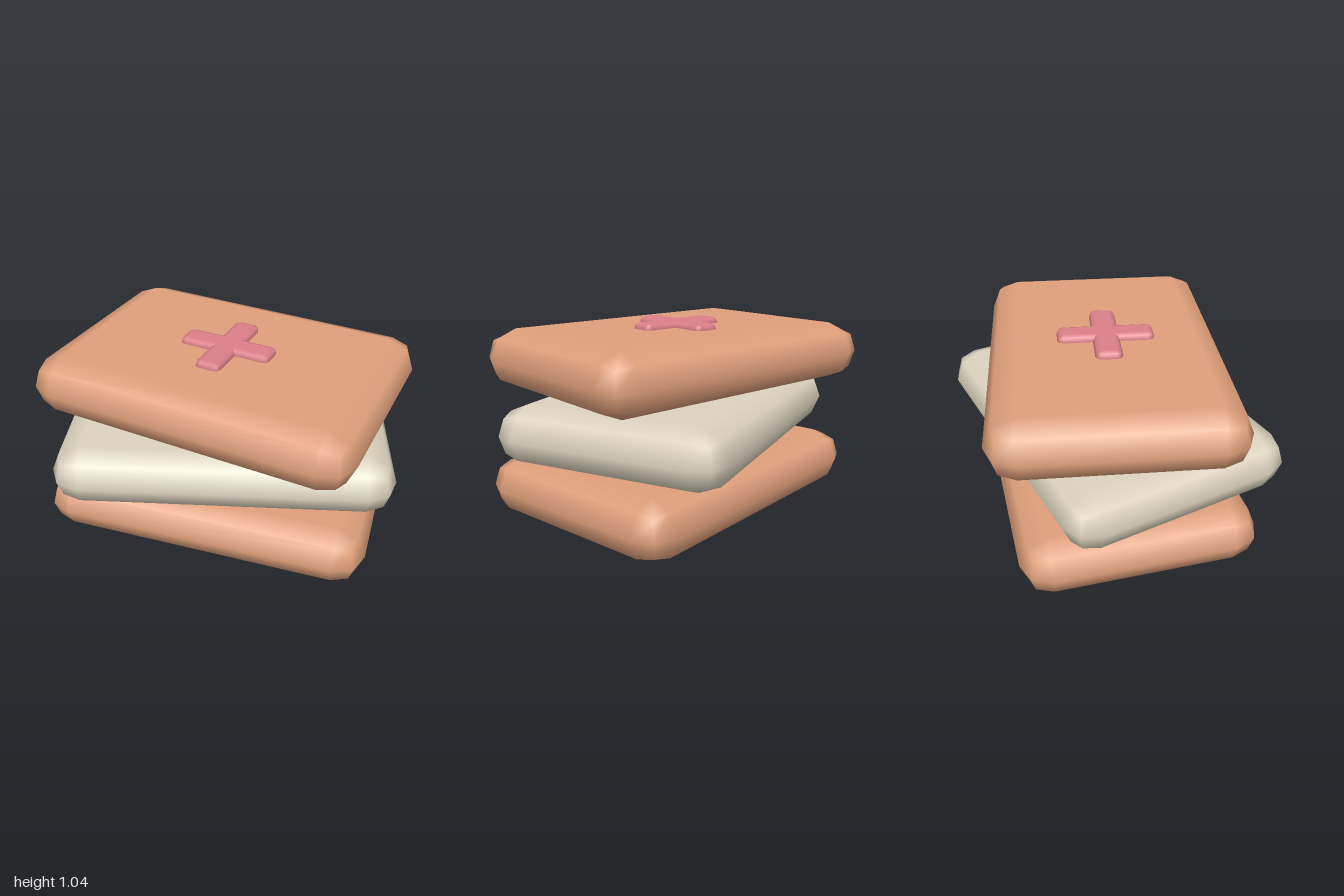
import * as THREE from 'three';
import { RoundedBoxGeometry } from 'three/addons/geometries/RoundedBoxGeometry.js';

function paint(name, color) {
  const material = new THREE.MeshStandardMaterial({ color });
  material.name = name;
  return material;
}

export function createModel() {
  const tan = paint('tan', 0xe0a07b);
  const cream = paint('cream', 0xddd4bf);
  const pink = paint('pink', 0xdc7f8a);
  const model = new THREE.Group();
  model.name = 'cushionStack';

  // Three identical soft slabs, each turned a little
  const slab = new RoundedBoxGeometry(1.81, 0.318, 1.28, 1, 0.157);
  const slabs = [
    ['bottomSlab', tan, 0.16, 0],
    ['middleSlab', cream, 0.504, 0.245],
    ['topSlab', tan, 0.847, -0.157],
  ];
  for (const [name, material, y, turn] of slabs) {
    const mesh = new THREE.Mesh(slab, material);
    mesh.name = name;
    mesh.position.y = y;
    mesh.rotation.y = turn;
    model.add(mesh);
  }

  // Raised cross of two rounded bars, aligned with the top slab
  const cross = new THREE.Group();
  cross.name = 'cross';
  cross.position.y = 1.005;
  cross.rotation.y = -0.157;
  const bar = new RoundedBoxGeometry(0.525, 0.07, 0.145, 1, 0.033);
  for (let i = 0; i < 2; i++) {
    const mesh = new THREE.Mesh(bar, pink);
    mesh.name = i ? 'crossBarUpright' : 'crossBarLevel';
    mesh.rotation.y = i * Math.PI / 2;
    cross.add(mesh);
  }
  model.add(cross);
  return model;
}
